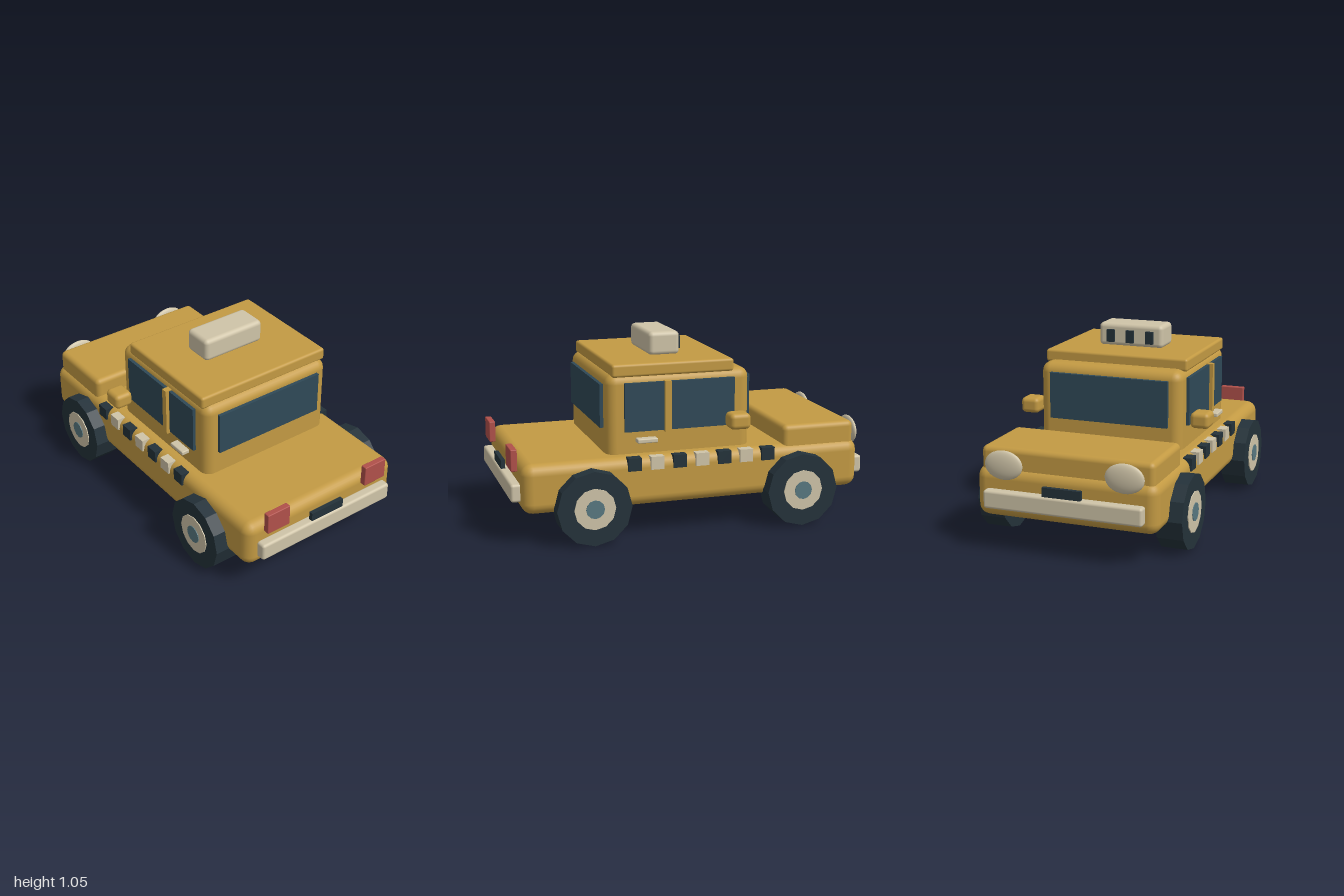
import * as THREE from 'three';
import { RoundedBoxGeometry } from 'three/addons/geometries/RoundedBoxGeometry.js';

const paint = (color, flatShading = false) => new THREE.MeshStandardMaterial({ color, flatShading });
const yellow = paint(0xc39a43);
const cream = paint(0xcfc4a8);
const dark = paint(0x24323a);
const glass = paint(0x2f4957);
const red = paint(0xb0504a);
const tyreMat = paint(0x24323a, true);
const rimMat = paint(0xcfc4a8, true);
const capMat = paint(0x587880, true);

export function createModel() {
  const car = new THREE.Group();
  car.name = 'car';

  const add = (name, geometry, material, x = 0, y = 0, z = 0) => {
    const mesh = new THREE.Mesh(geometry, material);
    mesh.name = name;
    mesh.position.set(x, y, z);
    car.add(mesh);
    return mesh;
  };
  // Block given by its limits on each axis, rounded when a radius is given
  const block = (name, material, [x0, x1], [y0, y1], [z0, z1], radius = 0) => {
    const size = [x1 - x0, y1 - y0, z1 - z0];
    const geometry = radius
      ? new RoundedBoxGeometry(...size, 3, radius)
      : new THREE.BoxGeometry(...size);
    return add(name, geometry, material, (x0 + x1) / 2, (y0 + y1) / 2, (z0 + z1) / 2);
  };
  // Same block on both sides of the car
  const pair = (name, material, [x0, x1], y, z, radius) => {
    block('left' + name, material, [x0, x1], y, z, radius);
    block('right' + name, material, [-x1, -x0], y, z, radius);
  };

  // Bodywork
  block('body', yellow, [-0.5, 0.5], [0.17, 0.44], [-0.95, 0.95], 0.06);
  block('hood', yellow, [-0.475, 0.475], [0.38, 0.545], [-0.925, -0.505], 0.03);
  block('cabin', yellow, [-0.41, 0.41], [0.36, 0.87], [-0.33, 0.475], 0.055);
  block('roof', yellow, [-0.413, 0.413], [0.855, 0.925], [-0.235, 0.445], 0.015);

  // Roof sign with dark marks
  block('roofSign', cream, [-0.19, 0.19], [0.92, 1.05], [0, 0.175], 0.025);
  for (const x of [-0.115, 0, 0.115])
    block('signMark', dark, [x - 0.022, x + 0.022], [0.945, 1.015], [-0.018, 0.02]);

  // Windows
  block('rearWindow', glass, [-0.335, 0.335], [0.575, 0.812], [0.45, 0.494]);
  block('windscreen', glass, [-0.34, 0.34], [0.565, 0.82], [-0.352, -0.31]);
  pair('SideWindow', glass, [0.39, 0.427], [0.562, 0.825], [-0.235, 0.38]);
  pair('DoorPillar', yellow, [0.4, 0.447], [0.553, 0.83], [0.128, 0.162]);

  // Door handles and mirrors
  pair('DoorHandle', cream, [0.4, 0.455], [0.502, 0.526], [0.205, 0.318], 0.006);
  pair('Mirror', yellow, [0.445, 0.552], [0.56, 0.647], [-0.287, -0.17], 0.025);

  // Checker strip along each side
  for (let i = 0; i < 7; i++) {
    const z = 0.35 - i * 0.1255;
    pair('Checker', i % 2 ? cream : dark, [0.46, 0.51], [0.37, 0.44], [z - 0.037, z + 0.037]);
  }

  // Bumpers and plates at both ends
  block('rearBumper', cream, [-0.435, 0.435], [0.232, 0.33], [0.94, 1], 0.015);
  block('frontBumper', cream, [-0.435, 0.435], [0.232, 0.33], [-1, -0.94], 0.015);
  block('rearPlate', dark, [-0.106, 0.106], [0.32, 0.378], [0.968, 0.991]);
  block('frontPlate', dark, [-0.106, 0.106], [0.32, 0.378], [-0.991, -0.968]);

  // Lights
  pair('TailLight', red, [0.257, 0.4], [0.39, 0.508], [0.955, 0.99], 0.005);
  for (const side of [-1, 1])
    add('headlight', new THREE.SphereGeometry(1, 24, 16), cream, side * 0.33, 0.463, -0.96)
      .scale.set(0.106, 0.078, 0.024);

  // Twelve-sided wheels with rim and cap
  const parts = [
    ['tyre', 0.202, 0.143, tyreMat],
    ['rim', 0.112, 0.153, rimMat],
    ['hubCap', 0.05, 0.162, capMat],
  ];
  for (const side of [-1, 1])
    for (const z of [-0.585, 0.585])
      for (const [name, radius, width, material] of parts) {
        const geometry = new THREE.CylinderGeometry(radius, radius, width, 12).rotateZ(Math.PI / 2);
        add(name, geometry, material, side * 0.501, 0.202, z);
      }

  return car;
}
